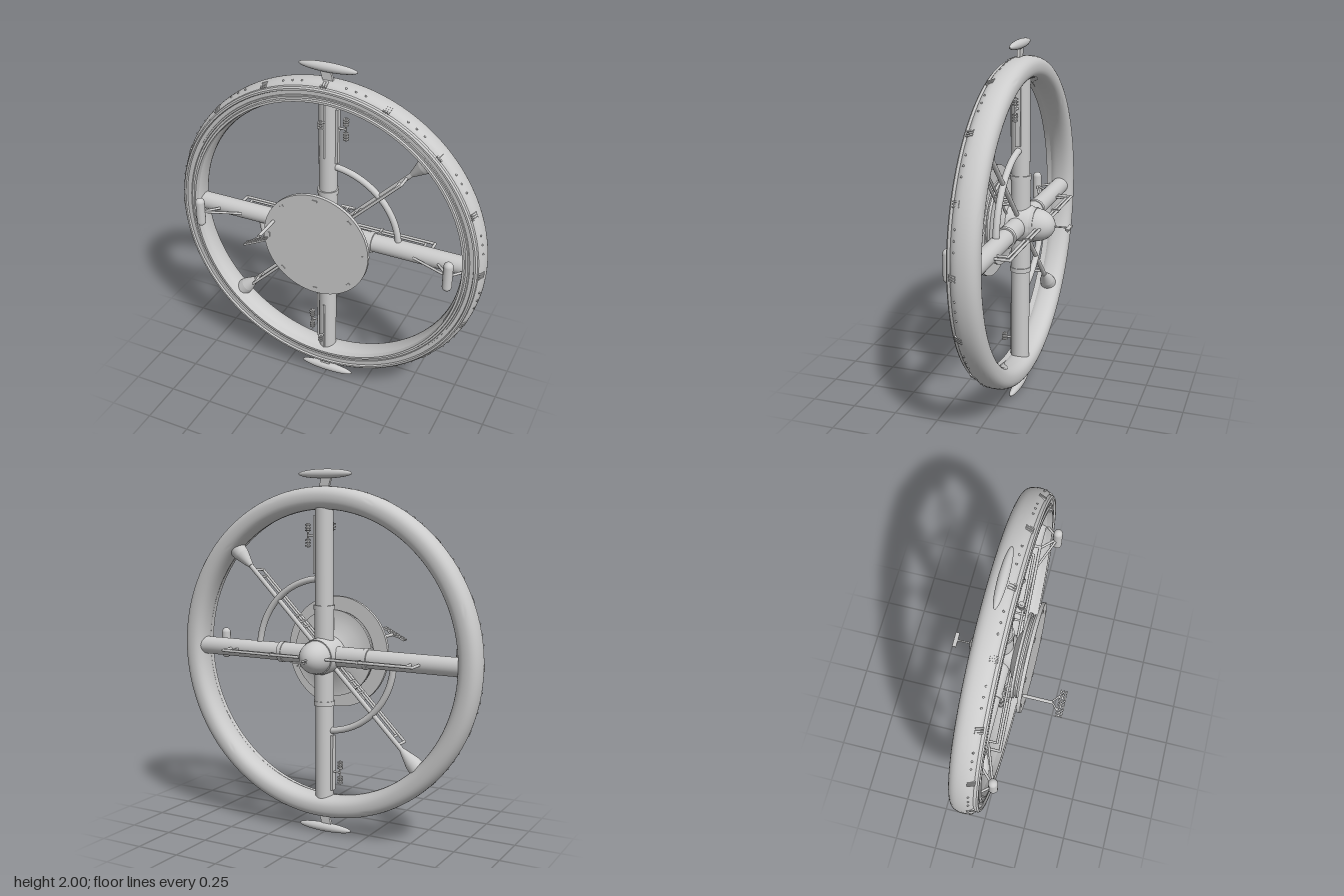
import * as THREE from 'three';
import { toCreasedNormals } from 'three/addons/utils/BufferGeometryUtils.js';

const V = (x, y, z) => new THREE.Vector3(x, y, z);
const HUB_Y = 1.005; // height of the wheel axis
const MID_Z = -0.06; // middle plane of the wheel

export function createModel() {
  const mat = new THREE.MeshStandardMaterial({ color: 0xcccccc, side: THREE.DoubleSide });
  const model = new THREE.Group();
  const wheel = new THREE.Group();
  wheel.name = 'station';
  wheel.position.y = HUB_Y;
  model.add(wheel);

  const add = (parent, name, geo, x = 0, y = 0, z = 0) => {
    const m = new THREE.Mesh(geo, mat);
    m.name = name;
    m.position.set(x, y, z);
    parent.add(m);
    return m;
  };
  const group = (parent, name) => {
    const g = new THREE.Group();
    g.name = name;
    parent.add(g);
    return g;
  };
  // Straight round bar between two points, optionally tapered
  const bar = (parent, name, a, b, r0, r1 = r0, sides = 12) => {
    const d = b.clone().sub(a);
    const m = add(parent, name, new THREE.CylinderGeometry(r1, r0, d.length(), sides));
    m.position.copy(a).addScaledVector(d, 0.5);
    m.quaternion.setFromUnitVectors(V(0, 1, 0), d.normalize());
    return m;
  };
  // Body turned around the z axis; points are [radius, z]
  const turned = (parent, name, pts, segs = 64) => {
    const g = new THREE.LatheGeometry(pts.map(p => new THREE.Vector2(p[0], p[1])), segs);
    return add(parent, name, toCreasedNormals(g.rotateX(Math.PI / 2), 0.6));
  };
  // Chain of straight pipes with ball corners
  const pipe = (parent, name, pts, r) => {
    const g = group(parent, name);
    pts.forEach((p, i) => {
      if (i) bar(g, 'pipeRun', pts[i - 1], p, r, r, 8);
      if (i && i < pts.length - 1) add(g, 'pipeElbow', new THREE.SphereGeometry(r, 8, 6), p.x, p.y, p.z);
    });
  };

  // Outer ring with a softly squared section
  const section = [];
  for (let i = 0; i <= 32; i++) {
    const t = (i / 32) * Math.PI * 2, c = Math.cos(t), s = Math.sin(t), e = 2 / 2.4;
    section.push([0.844 + 0.061 * Math.sign(c) * Math.abs(c) ** e, MID_Z + 0.074 * Math.sign(s) * Math.abs(s) ** e]);
  }
  turned(wheel, 'ring', section, 128);
  turned(wheel, 'ringFrontRails', [[0.885, -0.02], [0.88, 0.018], [0.872, 0.026], [0.862, 0.026], [0.858, 0.015],
    [0.838, 0.015], [0.836, 0.021], [0.828, 0.021], [0.826, 0.014], [0.816, 0.014], [0.812, 0.024], [0.8, 0.024], [0.795, -0.02]], 128);

  // Louvred windows and small ports around the rim
  for (let i = 0; i < 16; i++) {
    const bay = group(wheel, 'windowBay');
    bay.rotation.z = (i * Math.PI) / 8;
    for (let k = -1; k <= 1; k++) {
      const slat = add(bay, 'windowSlat', new THREE.BoxGeometry(0.008, 0.012, 0.042), 0.013 * k, 0.892, -0.012);
      slat.rotation.x = 0.38;
    }
    for (const a of [0.13, 0.19, 0.25])
      add(bay, 'port', new THREE.SphereGeometry(0.006, 6, 4), 0.899 * Math.sin(a), 0.899 * Math.cos(a), -0.02);
  }

  // Hub: core, stepped collars, front disc and rear dome
  turned(wheel, 'hubCore', [[0, -0.14], [0.09, -0.14], [0.1, -0.12], [0.1, 0], [0.17, 0.035], [0.24, 0.035],
    [0.24, 0.05], [0.225, 0.052], [0.225, 0.06], [0.235, 0.06], [0.235, 0.07], [0.1, 0.07], [0.1, 0.09], [0, 0.09]]);
  turned(wheel, 'frontDisc', [[0, 0.087], [0.31, 0.087], [0.31, 0.107], [0, 0.107]]);
  for (let i = 0; i < 8; i++) {
    const a = (i * Math.PI) / 4;
    const clip = add(wheel, 'discClip', new THREE.BoxGeometry(0.012, 0.025, 0.006), 0.28 * Math.cos(a), 0.28 * Math.sin(a), 0.108);
    clip.rotation.z = a;
  }
  const dome = add(wheel, 'rearDome', new THREE.SphereGeometry(0.09, 32, 20), 0, 0, -0.145);
  dome.scale.z = 1.22;
  turned(wheel, 'domeCollar', [[0, -0.15], [0.095, -0.15], [0.095, -0.13], [0, -0.13]]);

  // Rear mast with a small crosshead
  bar(wheel, 'rearMast', V(0, 0, -0.24), V(0, 0, -0.325), 0.005);
  add(wheel, 'rearMastHead', new THREE.BoxGeometry(0.085, 0.008, 0.022), 0, 0, -0.333);
  for (const s of [-1, 1]) bar(wheel, 'rearMastFork', V(0, 0, -0.315), V(s * 0.012, -0.022, -0.328), 0.003);

  // Front boom carrying a tilted lattice antenna
  bar(wheel, 'antennaBoom', V(-0.25, 0.09, 0.1), V(-0.25, 0.09, 0.27), 0.009);
  const antenna = group(wheel, 'latticeAntenna');
  antenna.position.set(-0.245, 0.088, 0.315);
  antenna.rotation.z = 0.46;
  for (const z of [-0.015, 0, 0.016]) add(antenna, 'latticeRail', new THREE.BoxGeometry(0.145, 0.01, 0.006), 0, 0, z);
  for (let i = 0; i < 9; i++) add(antenna, 'latticeRung', new THREE.BoxGeometry(0.006, 0.01, 0.036), -0.064 + i * 0.016, 0, 0);
  for (const s of [-1, 1]) bar(antenna, 'latticeBrace', V(0, 0, -0.05), V(s * 0.04, 0, -0.015), 0.005);

  // Stack of small fins
  const finStack = (parent, x, y, z) => {
    const g = group(parent, 'finStack');
    g.position.set(x, y, z);
    bar(g, 'finCore', V(0, -0.024, 0), V(0, 0.024, 0), 0.007);
    for (const k of [-1, 0, 1]) add(g, 'fin', new THREE.CylinderGeometry(0.016, 0.016, 0.007, 12), 0, k * 0.015, 0);
  };

  // Two halves, each the other turned half way round the axis
  for (const turn of [0, Math.PI]) {
    const half = group(wheel, turn ? 'lowerHalf' : 'upperHalf');
    half.rotation.z = turn;

    // Spokes with sleeves and collars
    for (const dir of [V(0, 1, 0), V(1, 0, 0)]) {
      const at = r => dir.clone().multiplyScalar(r).setZ(MID_Z);
      bar(half, 'spoke', at(0), at(0.82), 0.05, 0.05, 32);
      bar(half, 'spokeSleeve', at(0), at(0.26), 0.054, 0.054, 32);
      bar(half, 'spokeCollar', at(0.25), at(0.275), 0.058, 0.058, 32);
    }

    // Quarter tunnel joining two spokes
    const tunnel = new THREE.TorusGeometry(0.416, 0.018, 16, 40, Math.PI / 2);
    add(half, 'curvedTunnel', tunnel, 0, 0, MID_Z);

    // Diagonal strut with flared end and pipework in front of it
    const diag = group(half, 'diagonalStrut');
    diag.rotation.z = Math.PI / 4;
    bar(diag, 'strut', V(0.05, 0, MID_Z), V(0.7, 0, MID_Z), 0.013);
    bar(diag, 'strutFlare', V(0.665, 0, MID_Z), V(0.75, 0, MID_Z), 0.015, 0.042, 24);
    bar(diag, 'strutFoot', V(0.75, 0, MID_Z), V(0.8, 0, MID_Z), 0.042, 0.048, 24);
    pipe(diag, 'outerPipe', [V(0.1, 0, 0.025), V(0.63, 0, 0.025), V(0.63, 0, MID_Z)], 0.008);
    pipe(diag, 'innerPipe', [V(0.1, 0, 0), V(0.58, 0, 0), V(0.58, 0, MID_Z)], 0.007);
    for (const r of [0.2, 0.24, 0.28]) bar(diag, 'pipeClamp', V(r, 0, 0.03), V(r, 0, MID_Z), 0.006);

    // Pipework behind the horizontal spoke
    pipe(half, 'outerPipe', [V(0.06, 0, -0.19), V(0.58, 0, -0.19), V(0.58, 0, -0.1)], 0.008);
    pipe(half, 'innerPipe', [V(0.06, 0, -0.168), V(0.535, 0, -0.168), V(0.535, 0, -0.1)], 0.007);
    add(half, 'pipeClamp', new THREE.BoxGeometry(0.012, 0.02, 0.04), 0.27, 0, -0.178);

    // Upright capsule on braces
    add(half, 'capsule', new THREE.CapsuleGeometry(0.026, 0.125, 8, 20), 0.74, 0, 0.07);
    for (const x of [0.52, 0.66, 0.81])
      bar(half, 'capsuleBrace', V(0.74, 0, 0.07), V(x, 0, -0.012), 0.007);

    // Equipment on the vertical spoke
    bar(half, 'spokeRail', V(0, 0.48, -0.008), V(0, 0.79, -0.008), 0.006);
    add(half, 'sideRail', new THREE.BoxGeometry(0.014, 0.31, 0.03), 0.054, 0.595, MID_Z);
    bar(half, 'frontFinPost', V(0, 0.69, -0.02), V(0, 0.69, 0.03), 0.006);
    finStack(half, 0, 0.69, 0.034);
    bar(half, 'sideFinArm', V(0.04, 0.645, MID_Z), V(0.1, 0.645, MID_Z), 0.006);
    bar(half, 'sideFinPost', V(0.1, 0.61, MID_Z), V(0.1, 0.68, MID_Z), 0.005);
    finStack(half, 0.1, 0.686, MID_Z);
    finStack(half, 0.1, 0.604, MID_Z);
  }

  // Saucers above and below on slanted pylons
  for (const s of [1, -1]) {
    const saucer = add(wheel, 'saucer', new THREE.SphereGeometry(1, 32, 16), 0, s > 0 ? 0.97 : -0.975, -0.053);
    saucer.scale.set(0.163, 0.025, 0.025);
    const shape = new THREE.Shape([[-0.022, 0.89], [0.034, 0.89], [0.015, 0.965], [-0.045, 0.965]]
      .map(([x, y]) => new THREE.Vector2(x, y * s)));
    const pylon = new THREE.ExtrudeGeometry(shape, { depth: 0.016, bevelEnabled: false });
    add(wheel, 'saucerPylon', pylon, 0, 0, -0.061);
  }
  return model;
}
